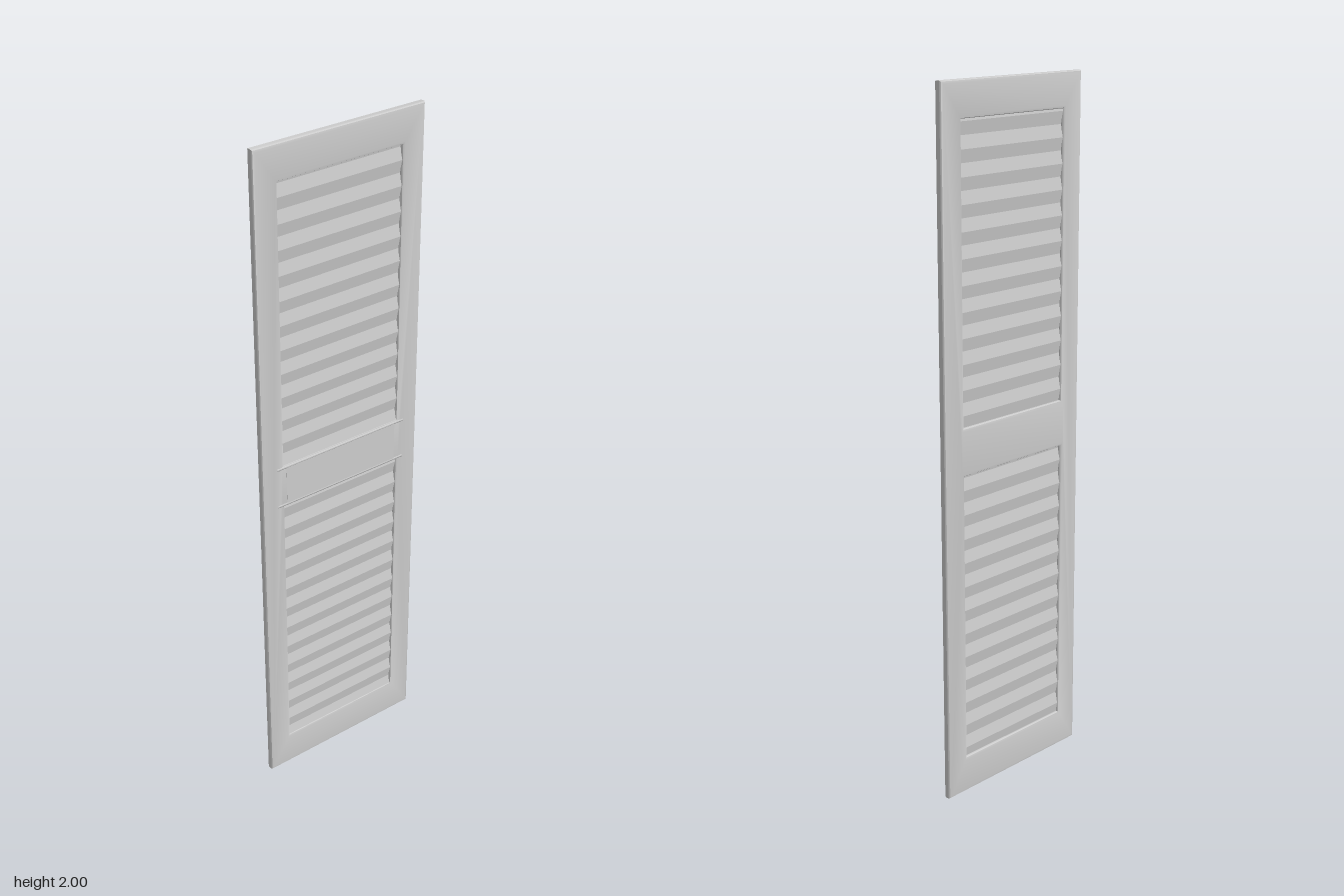
import * as THREE from 'three';
import { toCreasedNormals } from 'three/addons/utils/BufferGeometryUtils.js';

export function createModel() {
  const group = new THREE.Group();
  const paint = new THREE.MeshStandardMaterial({ color: 0xcccccc });
  paint.name = 'grey paint';

  function add(name, geometry) {
    const mesh = new THREE.Mesh(geometry, paint);
    mesh.name = name;
    group.add(mesh);
    return mesh;
  }

  // Rectangle in the plane of the shutter, centred across its width
  function rect(Type, halfWidth, y0, y1) {
    const r = new Type();
    r.moveTo(-halfWidth, y0);
    r.lineTo(halfWidth, y0);
    r.lineTo(halfWidth, y1);
    r.lineTo(-halfWidth, y1);
    r.closePath();
    return r;
  }

  // Frame with two louvre openings and rounded edges, turned to face +x
  const outline = rect(THREE.Shape, 0.255, 0.008, 1.992);
  outline.holes.push(rect(THREE.Path, 0.2, 0.1, 0.96), rect(THREE.Path, 0.2, 1.08, 1.91));
  const frame = new THREE.ExtrudeGeometry(outline, {
    depth: 0.012, bevelThickness: 0.006, bevelSize: 0.008, bevelSegments: 2,
  });
  frame.rotateY(Math.PI / 2).translate(-0.007, 0, 0);
  add('frame', toCreasedNormals(frame, 0.7));

  // Louvres: one zigzag section per opening, run across the width
  const pitch = 0.0704;
  function louvres(name, y0, y1) {
    const front = [], back = [];
    const first = Math.ceil((y0 - 1.72) / (pitch / 2));
    const last = Math.floor((y1 - 1.72) / (pitch / 2));
    for (let i = first; i <= last; i++) {
      const y = 1.72 + i * pitch / 2;
      const out = i % 2 === 0 ? 0.006 : 0;
      front.push(new THREE.Vector2(0.002 + out, y));
      back.unshift(new THREE.Vector2(-0.009 + out, y));
    }
    const section = new THREE.Shape([...front, ...back]);
    const geometry = new THREE.ExtrudeGeometry(section, { depth: 0.4, bevelEnabled: false });
    add(name, geometry.translate(0, 0, -0.2));
  }
  louvres('lowerLouvres', 0.06, 1.0);
  louvres('upperLouvres', 1.04, 1.95);

  // Middle rail: slightly raised panel between two thin ledges
  add('middleRailPanel', new THREE.BoxGeometry(0.004, 0.116, 0.37)).position.set(0.0095, 1.02, 0);
  for (const [name, y] of [['lowerLedge', 0.96], ['upperLedge', 1.08]]) {
    const ledge = new THREE.CylinderGeometry(0.005, 0.005, 0.43, 8);
    ledge.rotateX(Math.PI / 2);
    add(name, ledge).position.set(0.0075, y, 0);
  }
  return group;
}
